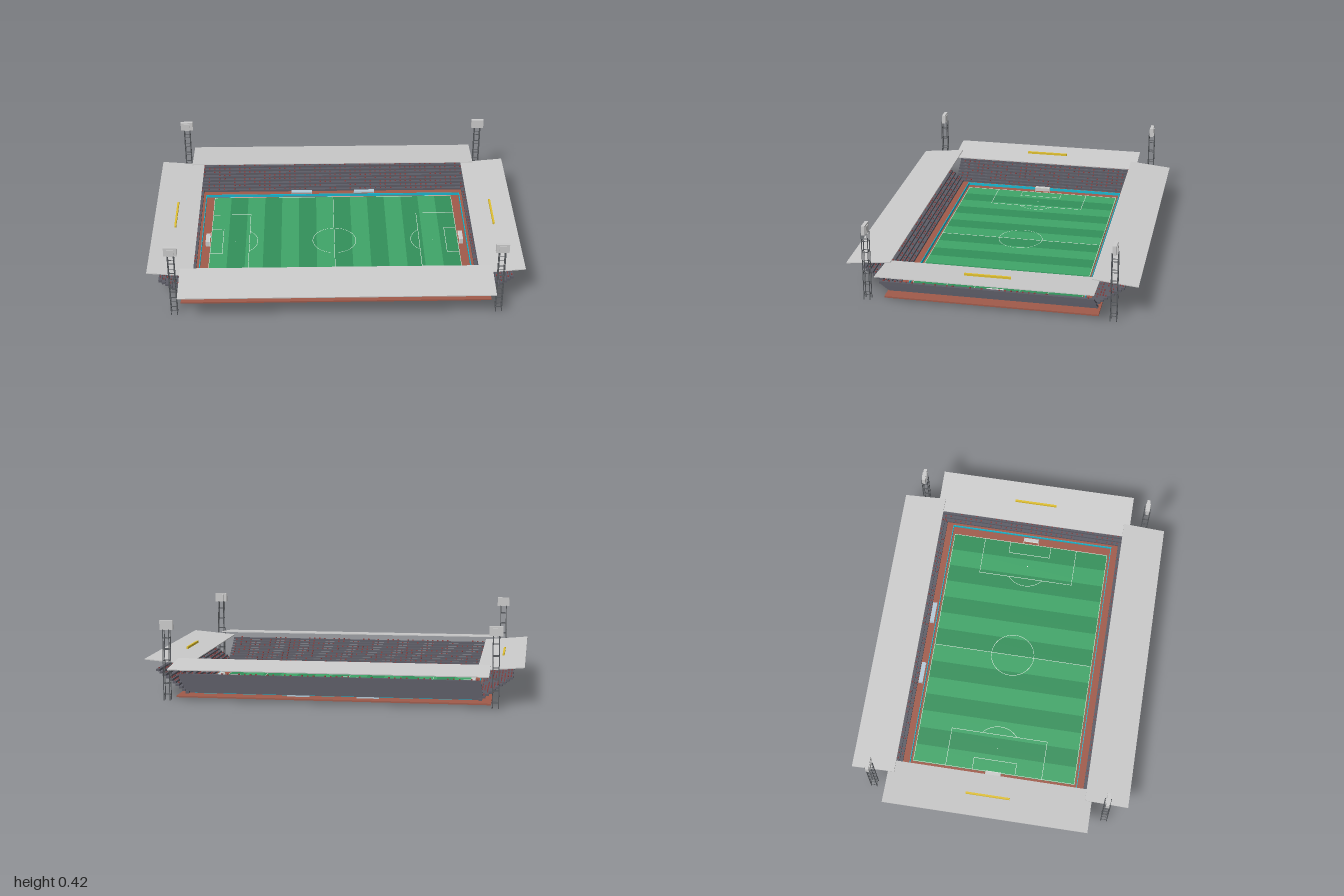
import * as THREE from 'three';
import { mergeGeometries } from 'three/addons/utils/BufferGeometryUtils.js';

const mat = (color) => new THREE.MeshStandardMaterial({ color });
const M = {
  grey: mat(0xcccccc), track: mat(0xa05a4a), light: mat(0x3fa568), dark: mat(0x33905a),
  line: mat(0xdfe8df), board: mat(0x18b8d0), step: mat(0x5c5c66), fan: mat(0x8c4040),
  banner: mat(0xe0c030), steel: mat(0x55585c), shelter: mat(0xb4cad8),
};

// box geometry placed by its centre
const box = (w, h, d, x = 0, y = 0, z = 0) => new THREE.BoxGeometry(w, h, d).translate(x, y, z);

function add(parent, name, geos, material) {
  const list = [].concat(geos);
  const mesh = new THREE.Mesh(list.length > 1 ? mergeGeometries(list) : list[0], material);
  mesh.name = name;
  parent.add(mesh);
  return mesh;
}

let seed = 7;
const rand = () => (seed = (seed * 16807) % 2147483647) / 2147483647;

// stand facing local -z: stepped rows, spectators and a sloping roof
function makeStand({ name, half, start, roofHalf, roofIn, roofOut, yIn, yOut }) {
  const g = new THREE.Group();
  g.name = name;
  const rows = [], fans = [];
  for (let i = 0; i < 10; i++) {
    const y = 0.026 + i * 0.0128, z = start + i * 0.0175;
    rows.push(box(half * 2, 0.0115, 0.0185, 0, y, z));
    for (let x = -half + 0.02; x < half - 0.01; x += 0.03)
      if (rand() > 0.4) fans.push(box(0.008, 0.007, 0.006, x, y + 0.009, z));
  }
  add(g, 'seatingRows', rows, M.step);
  add(g, 'spectators', fans, M.fan);
  const depth = roofOut - roofIn, rise = yOut - yIn;
  const roof = add(g, 'roof', box(roofHalf * 2, 0.005, Math.hypot(depth, rise)), M.grey);
  roof.position.set(0, (yIn + yOut) / 2, (roofIn + roofOut) / 2);
  roof.rotation.x = -Math.atan2(rise, depth);
  return g;
}

// lattice floodlight mast
function makeTower() {
  const g = new THREE.Group();
  g.name = 'floodlightTower';
  const bars = [], r = 0.016;
  for (const s of [-1, 1]) {
    for (const t of [-1, 1]) bars.push(box(0.004, 0.375, 0.004, s * r, 0.1875, t * r));
    for (let y = 0.03; y < 0.37; y += 0.06) {
      bars.push(box(2 * r, 0.003, 0.003, 0, y, s * r), box(0.003, 0.003, 2 * r, s * r, y, 0));
    }
  }
  add(g, 'mast', bars, M.steel);
  add(g, 'lampPanel', [box(0.07, 0.05, 0.018, 0, 0.397, 0), box(0.035, 0.04, 0.026, 0, 0.393, 0)], M.grey);
  return g;
}

// goal with its mouth on local -x
function makeGoal() {
  const g = new THREE.Group();
  g.name = 'goal';
  const frame = [box(0.003, 0.003, 0.088, 0, 0.04, 0)], net = [];
  for (const s of [-1, 1]) {
    frame.push(box(0.003, 0.03, 0.003, 0, 0.025, s * 0.0425));
    net.push(box(0.022, 0.03, 0.001, 0.011, 0.025, s * 0.0425));
  }
  net.push(box(0.022, 0.001, 0.085, 0.011, 0.04, 0), box(0.001, 0.03, 0.085, 0.022, 0.025, 0));
  add(g, 'goalFrame', frame, M.line);
  add(g, 'goalNet', net, M.grey);
  return g;
}

function makeMarkings() {
  const y = 0.0125, w = 0.0025, out = [];
  const bar = (x0, x1, z0, z1) =>
    out.push(box(Math.abs(x1 - x0) + w, 0.001, Math.abs(z1 - z0) + w, (x0 + x1) / 2, y, (z0 + z1) / 2));
  const arc = (x, r, from, sweep) => out.push(
    new THREE.RingGeometry(r - w / 2, r + w / 2, 48, 1, from, sweep).rotateX(-Math.PI / 2).translate(x, y + 0.0005, 0));
  bar(0, 0, -0.452, 0.452);
  arc(0, 0.122, 0, Math.PI * 2);
  for (const s of [-1, 1]) {
    bar(-0.698, 0.698, s * 0.452, s * 0.452);
    bar(s * 0.698, s * 0.698, -0.452, 0.452);
    // penalty area and goal area
    for (const [x, z] of [[0.48, 0.27], [0.63, 0.12]]) {
      bar(s * x, s * x, -z, z);
      for (const t of [-1, 1]) bar(s * x, s * 0.698, t * z, t * z);
    }
    bar(s * 0.557, s * 0.559, 0, 0.002);
    const a = Math.acos(0.078 / 0.125);
    arc(s * 0.558, 0.125, (s > 0 ? Math.PI : 0) - a, 2 * a);
  }
  return out;
}

export function createModel() {
  const model = new THREE.Group();
  model.name = 'stadium';

  // ground slab and striped pitch
  add(model, 'groundSlab', box(1.66, 0.008, 1.12, 0, 0.004, 0), M.track);
  const stripes = [[], []];
  for (let i = 0; i < 14; i++) stripes[i % 2].push(box(0.1, 0.004, 0.91, -0.65 + i * 0.1, 0.01, 0));
  add(model, 'lightGrass', stripes[0], M.light);
  add(model, 'darkGrass', stripes[1], M.dark);
  add(model, 'pitchMarkings', makeMarkings(), M.line);

  // boards around the pitch
  const boards = [];
  for (const s of [-1, 1]) {
    boards.push(box(1.5, 0.017, 0.004, 0, 0.0155, s * 0.468));
    boards.push(box(0.004, 0.017, 0.94, s * 0.748, 0.0155, 0));
  }
  add(model, 'perimeterBoards', boards, M.board);

  // long and end stands
  for (const s of [1, -1]) {
    const long = makeStand({ name: s > 0 ? 'frontStand' : 'backStand', half: 0.785, start: 0.516,
      roofHalf: 0.826, roofIn: 0.522, roofOut: 0.757, yIn: 0.202, yOut: 0.179 });
    long.rotation.y = s > 0 ? 0 : Math.PI;
    const end = makeStand({ name: s > 0 ? 'leftStand' : 'rightStand', half: 0.55, start: 0.774,
      roofHalf: 0.558, roofIn: 0.758, roofOut: 1, yIn: 0.179, yOut: 0.2 });
    end.rotation.y = s * Math.PI / 2;
    model.add(long, end);

    // yellow banner reaching through the end roof
    add(model, 'banner', box(0.01, 0.06, 0.24, s * 0.88, 0.174, 0), M.banner);

    const goal = makeGoal();
    goal.position.x = s * 0.703;
    goal.rotation.y = s > 0 ? 0 : Math.PI;
    model.add(goal);

    // team shelter, open towards the pitch
    const x = s * 0.185;
    add(model, 'teamShelter', [
      box(0.12, 0.002, 0.024, x, 0.03, -0.491), box(0.12, 0.022, 0.002, x, 0.019, -0.502),
      box(0.002, 0.022, 0.024, x - 0.059, 0.019, -0.491), box(0.002, 0.022, 0.024, x + 0.059, 0.019, -0.491),
    ], M.shelter);

    for (const t of [-1, 1]) {
      const tower = makeTower();
      tower.position.set(s * 0.856, 0, t * 0.64);
      model.add(tower);
    }
  }
  return model;
}
